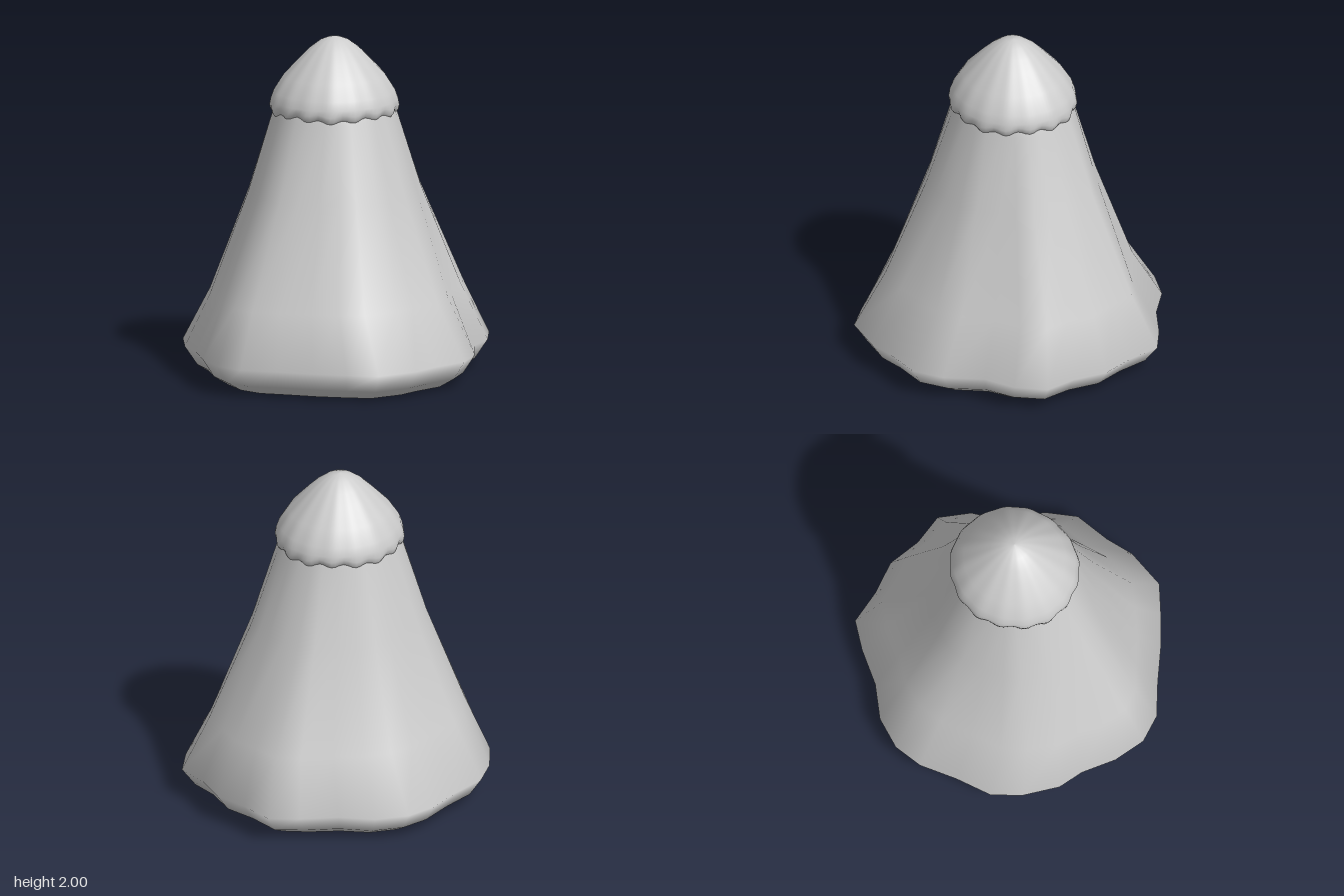
import * as THREE from 'three';

const material = new THREE.MeshStandardMaterial({ color: 0xcccccc, side: THREE.DoubleSide });

// Smooth surface through closed rings, listed bottom to top; point(row, column) gives [x, y, z]
function loft(name, rows, columns, point) {
  const positions = [], index = [];
  for (let r = 0; r < rows; r++) {
    for (let c = 0; c < columns; c++) positions.push(...point(r, c));
  }
  for (let r = 0; r < rows - 1; r++) {
    for (let c = 0; c < columns; c++) {
      const d = (c + 1) % columns;
      const a = r * columns + c, b = r * columns + d;
      index.push(a, a + columns, b, b, a + columns, b + columns);
    }
  }
  const geometry = new THREE.BufferGeometry();
  geometry.setAttribute('position', new THREE.Float32BufferAttribute(positions, 3));
  geometry.setIndex(index);
  geometry.computeVertexNormals();
  const mesh = new THREE.Mesh(geometry, material);
  mesh.name = name;
  return mesh;
}

// Irregular plan of the skirt at its widest, from +x towards +z
const plan = [
  [0.92, 0], [0.87, 0.2], [0.87, 0.39], [0.73, 0.53], [0.55, 0.61], [0.39, 0.79], [0.22, 0.885],
  [0, 0.875], [-0.17, 0.89], [-0.41, 0.835], [-0.53, 0.69], [-0.65, 0.53], [-0.77, 0.34], [-0.89, 0.17],
  [-0.92, 0], [-0.86, -0.19], [-0.75, -0.37], [-0.7, -0.52], [-0.56, -0.69], [-0.41, -0.8], [-0.19, -0.84],
  [0.03, -0.9], [0.21, -0.895], [0.39, -0.81], [0.54, -0.655], [0.73, -0.53], [0.87, -0.41], [0.88, -0.2],
];

// Skirt rings: height, x radius, z radius, how far the plan is rounded off
const skirtRings = [
  [0, 0.735, 0.725, 0.1], [0.06, 0.84, 0.82, 0], [0.17, 0.92, 0.89, 0],
  [0.49, 0.79, 0.695, 0.1], [1.09, 0.53, 0.485, 0.5], [1.54, 0.378, 0.355, 0.9], [1.62, 0.345, 0.33, 1],
];

// Cap rings: height, radius, strength of the scallops
const capRings = [
  [1.562, 0.362, 1], [1.575, 0.372, 1], [1.6, 0.378, 0.8], [1.63, 0.372, 0.6], [1.68, 0.355, 0.5],
  [1.77, 0.298, 0.5], [1.87, 0.205, 0.5], [1.93, 0.145, 0.4], [1.975, 0.085, 0.3], [1.993, 0.04, 0.1], [2, 0, 0],
];

export function createModel() {
  const group = new THREE.Group();
  group.name = 'scallopedCone';

  // Open flaring skirt that turns in at the foot
  group.add(loft('skirt', skirtRings.length, plan.length, (r, c) => {
    const [y, rx, rz, round] = skirtRings[r];
    const [px, pz] = plan[c];
    const angle = Math.atan2(pz / 0.89, px / 0.92);
    const x = THREE.MathUtils.lerp(px / 0.92, Math.cos(angle), round) * rx;
    const z = THREE.MathUtils.lerp(pz / 0.89, Math.sin(angle), round) * rz;
    return [x + 0.012 * round, y, z - 0.008 * round];
  }));

  // Fluted domed cap with a wavy lower edge
  const columns = 96;
  group.add(loft('cap', capRings.length, columns, (r, c) => {
    const [y, radius, wave] = capRings[r];
    const a = (c / columns) * Math.PI * 2;
    const lobe = Math.cos(16 * a) + 0.5 * Math.cos(5 * a + 1);
    const R = radius * (1 + 0.013 * wave * lobe);
    const drop = r < 3 ? 0.009 * wave * lobe : 0;
    return [R * Math.cos(a) * 1.01 + 0.012, y - drop, R * Math.sin(a) * 0.97 - 0.008];
  }));

  return group;
}
